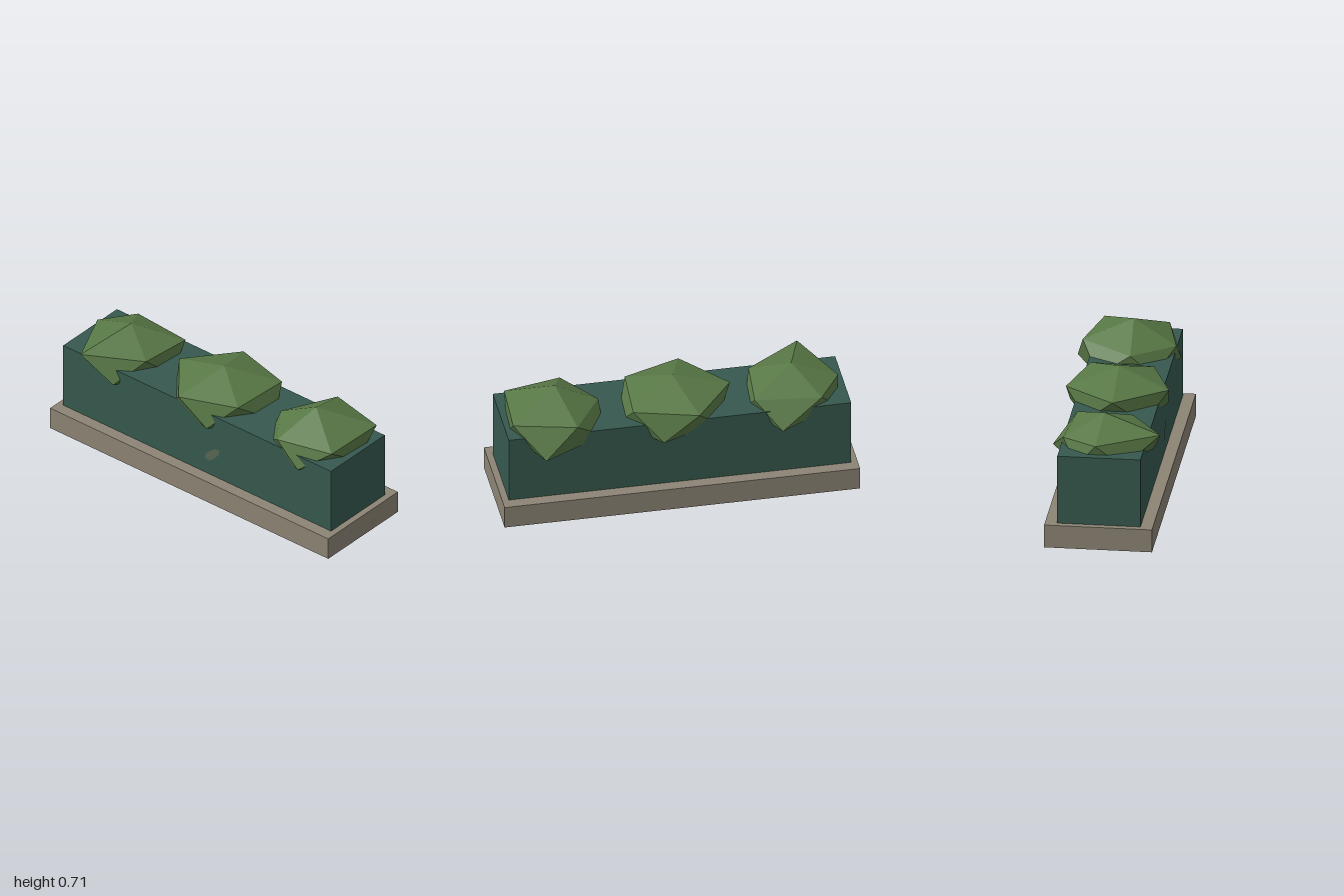
import * as THREE from 'three';

const paint = (color) =>
  new THREE.MeshStandardMaterial({ color, flatShading: true, side: THREE.DoubleSide });

// Box shell with chosen faces left out (0..5 = +x -x +y -y +z -z)
function openBox(w, h, d, skip) {
  const geo = new THREE.BoxGeometry(w, h, d);
  const index = Array.from(geo.index.array);
  geo.setIndex(index.filter((_, i) => Math.floor(i / 6) !== skip));
  geo.clearGroups();
  return geo;
}

// Uneven icosahedron: apex, five upper points, five lower points, bottom.
// Rings run clockwise seen from above, lower point i lies between upper i and i + 1.
function bushGeometry(apex, upper, lower, bottom) {
  const points = [apex, ...upper, ...lower, bottom];
  const index = [];
  for (let i = 0; i < 5; i++) {
    const j = (i + 1) % 5;
    const [u, un, l, ln] = [1 + i, 1 + j, 6 + i, 6 + j];
    index.push(0, un, u, u, un, l, un, ln, l, l, ln, 11);
  }
  const geo = new THREE.BufferGeometry();
  geo.setAttribute('position', new THREE.Float32BufferAttribute(points.flat(), 3));
  geo.setIndex(index);
  const flat = geo.toNonIndexed();
  flat.computeVertexNormals();
  return flat;
}

// Rings start at the left-hand (-x) point and go round by the back
const bushes = [
  {
    name: 'rightBush',
    apex: [-0.67, 0.685, 0],
    upper: [[-0.93, 0.585, -0.02], [-0.8, 0.58, -0.215], [-0.43, 0.585, -0.18], [-0.455, 0.59, 0.13], [-0.765, 0.604, 0.323]],
    lower: [[-0.9, 0.46, -0.13], [-0.565, 0.44, -0.3], [-0.4, 0.45, -0.03], [-0.58, 0.45, 0.265], [-0.9, 0.46, 0.13]],
    bottom: [-0.67, 0.36, 0],
  },
  {
    name: 'middleBush',
    apex: [0, 0.693, 0],
    upper: [[-0.325, 0.6, 0], [-0.1, 0.597, -0.285], [0.255, 0.6, -0.19], [0.235, 0.6, 0.165], [-0.09, 0.597, 0.288]],
    lower: [[-0.22, 0.45, -0.16], [0.1, 0.44, -0.285], [0.32, 0.45, -0.05], [0.09, 0.45, 0.262], [-0.22, 0.45, 0.17]],
    bottom: [0, 0.36, 0],
  },
  {
    name: 'leftBush',
    apex: [0.66, 0.707, 0],
    upper: [[0.415, 0.58, 0.01], [0.585, 0.6, -0.275], [0.932, 0.602, -0.195], [0.912, 0.59, 0.17], [0.585, 0.585, 0.246]],
    lower: [[0.41, 0.46, -0.17], [0.77, 0.433, -0.325], [0.935, 0.46, -0.03], [0.74, 0.455, 0.256], [0.43, 0.46, 0.14]],
    bottom: [0.66, 0.36, 0],
  },
];

export function createModel() {
  const model = new THREE.Group();
  const add = (name, geometry, material, x = 0, y = 0, z = 0) => {
    const mesh = new THREE.Mesh(geometry, material);
    mesh.name = name;
    mesh.position.set(x, y, z);
    model.add(mesh);
    return mesh;
  };

  // Stone plinth, open underneath
  add('plinth', openBox(2, 0.133, 0.6, 3), paint(0x8c8474), 0, 0.0665, 0.004);

  // Planter box
  add('planterBox', openBox(1.926, 0.4, 0.463, 3), paint(0x36594f), 0, 0.332, 0.004);

  // Low-poly shrubs
  const leaf = paint(0x587846);
  for (const b of bushes) add(b.name, bushGeometry(b.apex, b.upper, b.lower, b.bottom), leaf);

  // Worn patch on the front and a small one on the end of the plinth
  const outline = [[-0.05, -0.045], [-0.015, -0.05], [0.045, 0.01], [0.05, 0.045], [0.02, 0.045], [-0.045, -0.01]];
  const patch = new THREE.ShapeGeometry(new THREE.Shape(outline.map(([x, y]) => new THREE.Vector2(x, y))));
  add('frontPatch', patch, paint(0x566650), 0.11, 0.275, 0.2385);
  const endPatch = add('endPatch', new THREE.CircleGeometry(0.028, 6), paint(0x858067), 1.001, 0.043, -0.08);
  endPatch.rotation.y = Math.PI / 2;

  return model;
}
